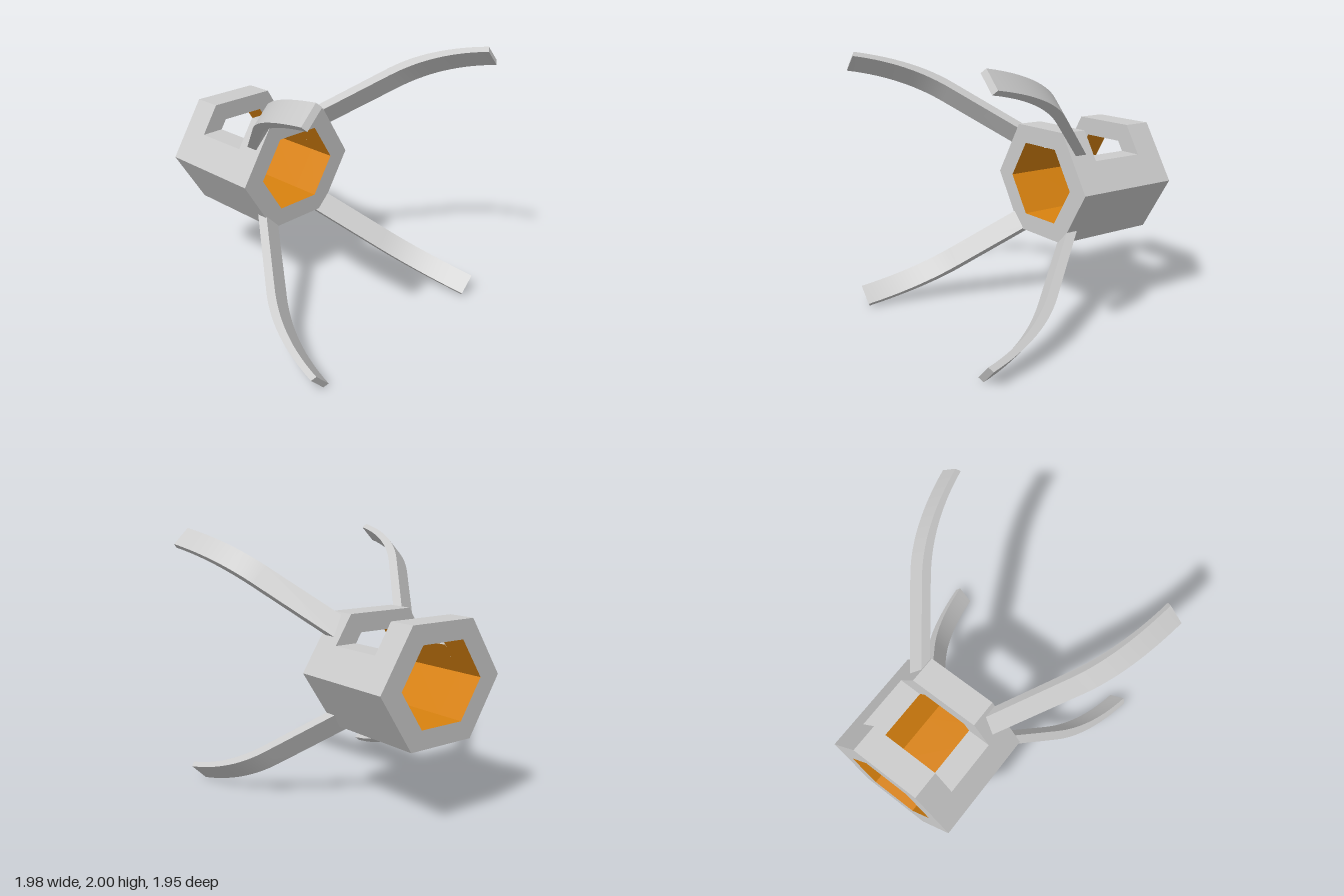
import * as THREE from 'three';
import { toCreasedNormals } from 'three/addons/utils/BufferGeometryUtils.js';

const grey = new THREE.MeshStandardMaterial({ color: 0xcccccc });
const orange = new THREE.MeshStandardMaterial({ color: 0xd9820f });

// Hexagonal tube: outlines run anticlockwise seen from the front
const OUTER = [[0.535, 0], [0.27, 0.42], [-0.27, 0.42], [-0.535, 0], [-0.27, -0.42], [0.27, -0.42]];
const INNER = [[0.36, 0], [0.18, 0.283], [-0.18, 0.283], [-0.36, 0], [-0.18, -0.283], [0.18, -0.283]];
const Z = { back: -0.975, notchBack: -0.76, notchFront: -0.335, front: -0.125 };
const NOTCH_Y = 0.21, NOTCH_OUT = 0.4025, NOTCH_IN = 0.226;

const toVectors = (pts) => pts.map(([x, y]) => new THREE.Vector2(x, y));
const closed = (pts) => [...pts, pts[0]];
const reversed = (pts) => [...pts].reverse();

function mesh(name, geometry, material) {
  const m = new THREE.Mesh(geometry, material);
  m.name = name;
  return m;
}

// Flat walls along a profile; they face the right-hand side of its direction
function walls(profile, z0, z1) {
  const pos = [];
  for (let i = 0; i < profile.length - 1; i++) {
    const [ax, ay] = profile[i], [bx, by] = profile[i + 1];
    pos.push(ax, ay, z0, bx, by, z0, bx, by, z1, ax, ay, z0, bx, by, z1, ax, ay, z1);
  }
  const g = new THREE.BufferGeometry();
  g.setAttribute('position', new THREE.Float32BufferAttribute(pos, 3));
  g.computeVertexNormals();
  return g;
}

// Flat end face at z, looking forwards or backwards (outlines are symmetric in x)
function cap(outline, hole, z, forwards) {
  const shape = new THREE.Shape(toVectors(outline));
  if (hole) shape.holes.push(new THREE.Path(toVectors(hole)));
  const g = new THREE.ShapeGeometry(shape);
  if (!forwards) g.rotateY(Math.PI);
  return g.translate(0, 0, z);
}

function createTube() {
  const tube = new THREE.Group();
  tube.name = 'hexagonalTube';

  // Full rings in front of and behind the notch
  for (const [name, z0, z1] of [['frontRing', Z.notchFront, Z.front], ['backRing', Z.back, Z.notchBack]]) {
    tube.add(mesh(name, walls(closed(OUTER), z0, z1), grey));
    tube.add(mesh(name + 'Bore', walls(reversed(closed(INNER)), z0, z1), orange));
  }

  // Middle section, open at the top, with the notch floors on both sides
  const outerU = [[-NOTCH_OUT, NOTCH_Y], ...OUTER.slice(3), OUTER[0], [NOTCH_OUT, NOTCH_Y]];
  const innerU = [[-NOTCH_IN, NOTCH_Y], ...INNER.slice(3), INNER[0], [NOTCH_IN, NOTCH_Y]];
  const greyU = [innerU[0], ...outerU, innerU[innerU.length - 1]];
  tube.add(mesh('middleSection', walls(greyU, Z.notchBack, Z.notchFront), grey));
  tube.add(mesh('middleBore', walls(reversed(innerU), Z.notchBack, Z.notchFront), orange));

  // End faces of the tube and of the notch
  const arch = [[NOTCH_OUT, NOTCH_Y], OUTER[1], OUTER[2], [-NOTCH_OUT, NOTCH_Y],
    [-NOTCH_IN, NOTCH_Y], INNER[2], INNER[1], [NOTCH_IN, NOTCH_Y]];
  tube.add(mesh('frontFace', cap(OUTER, INNER, Z.front, true), grey));
  tube.add(mesh('backFace', cap(OUTER, INNER, Z.back, false), grey));
  tube.add(mesh('notchFrontFace', cap(arch, null, Z.notchFront, false), grey));
  tube.add(mesh('notchBackFace', cap(arch, null, Z.notchBack, true), grey));

  tube.position.set(0.01, 1.015, 0);
  return tube;
}

// Arm profile: x is outwards, y is forwards, the origin is the outer edge of the tip
function armGeometry(width) {
  const s = new THREE.Shape();
  s.moveTo(-0.925, -1.252);
  s.lineTo(-0.354, -0.703);
  s.quadraticCurveTo(-0.107, -0.466, 0, 0);
  s.lineTo(-0.04, 0.022);
  s.quadraticCurveTo(-0.136, -0.395, -0.404, -0.653);
  s.lineTo(-0.925, -1.154);
  s.closePath();
  const g = new THREE.ExtrudeGeometry(s, { depth: width, bevelEnabled: false, curveSegments: 14 });
  g.translate(0, 0, -width / 2);
  return toCreasedNormals(g, 0.3);
}

export function createModel() {
  const model = new THREE.Group();
  model.name = 'clawHolder';
  model.add(createTube());

  // Four curved arms, each placed by its tip
  const geometry = armGeometry(0.165);
  const arms = [
    ['upperLeftArm', 0.929, 1.942, 0.92, 1, 1],
    ['upperRightArm', -0.938, 1.94, 0.947, -1, 1],
    ['lowerLeftArm', 0.86, 0.062, 0.923, 1, -1],
    ['lowerRightArm', -0.862, 0.062, 0.952, -1, -1],
  ];
  for (const [name, x, y, z, sx, sy] of arms) {
    const out = new THREE.Vector3(sx, sy, 0).normalize();
    const forward = new THREE.Vector3(0, 0, 1);
    const across = out.clone().cross(forward);
    const arm = mesh(name, geometry, grey);
    arm.quaternion.setFromRotationMatrix(new THREE.Matrix4().makeBasis(out, forward, across));
    arm.position.set(x, y, z);
    model.add(arm);
  }
  return model;
}
